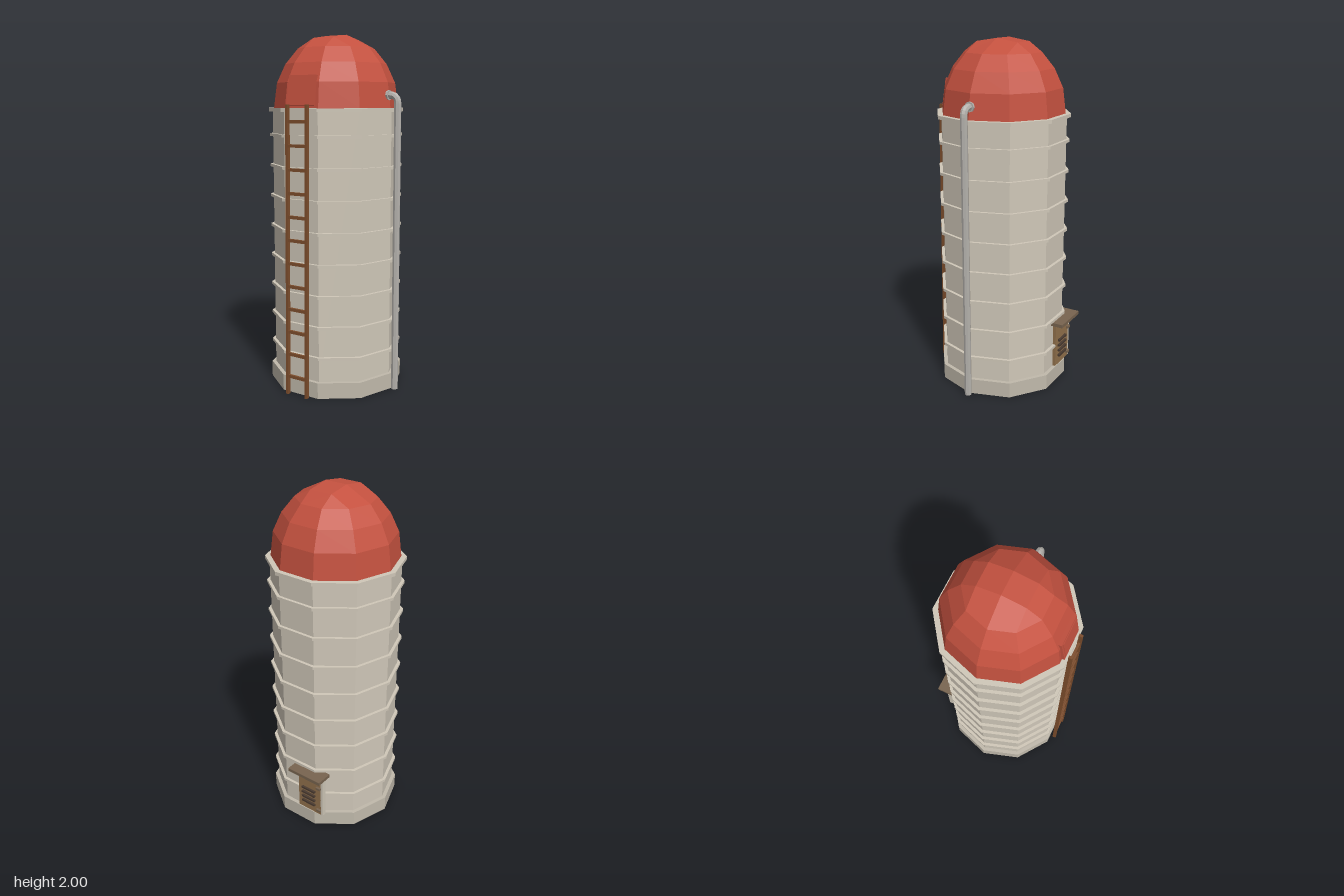
import * as THREE from 'three';

const CX = -0.018, CZ = 0.005; // axis of the tower
const SIDES = 10;

function material(name, color) {
  const m = new THREE.MeshStandardMaterial({ color, flatShading: true });
  m.name = name;
  return m;
}

// Dome: stacked decagon rings closed by a gridded cap with a short ridge
function domeGeometry() {
  const pos = [];
  const mid = new THREE.Vector3(0, 1.62, 0);
  const tri = (a, b, c) => {
    const n = b.clone().sub(a).cross(c.clone().sub(a));
    const out = a.clone().add(b).add(c).divideScalar(3).sub(mid);
    const order = n.dot(out) > 0 ? [a, b, c] : [a, c, b];
    order.forEach((p) => pos.push(p.x, p.y, p.z));
  };
  const quad = (a, b, c, d) => { tri(a, b, c); tri(a, c, d); };
  const ring = ([r, y]) => Array.from({ length: SIDES }, (_, i) => {
    const a = (i / SIDES) * Math.PI * 2;
    return new THREE.Vector3(r * Math.cos(a), y, r * Math.sin(a));
  });
  const rings = [[0.355, 1.595], [0.337, 1.735], [0.288, 1.84], [0.218, 1.925]].map(ring);
  for (let k = 0; k < rings.length - 1; k++) {
    for (let i = 0; i < SIDES; i++) {
      const j = (i + 1) % SIDES;
      quad(rings[k][i], rings[k][j], rings[k + 1][j], rings[k + 1][i]);
    }
  }
  const top = rings[3];
  const x = top[2].x, z = top[1].z;
  const v = (px, py, pz) => new THREE.Vector3(px, py, pz);
  for (const sz of [-1, 1]) {
    const flip = (p) => v(p.x, p.y, p.z * sz);
    const ridgeL = v(-x, 2, 0), ridgeR = v(x, 2, 0);
    const inL = v(-x, 1.98, z * sz), inR = v(x, 1.98, z * sz);
    quad(ridgeL, ridgeR, inR, inL);
    quad(inL, inR, flip(top[2]), flip(top[3]));
    quad(ridgeR, top[0], flip(top[1]), inR);
    quad(ridgeL, top[5], flip(top[4]), inL);
    tri(inR, flip(top[1]), flip(top[2]));
    tri(inL, flip(top[4]), flip(top[3]));
  }
  const g = new THREE.BufferGeometry();
  g.setAttribute('position', new THREE.Float32BufferAttribute(pos, 3));
  g.computeVertexNormals();
  return g;
}

export function createModel() {
  const model = new THREE.Group();
  model.name = 'silo';
  const concrete = material('concrete', 0xcfc7b8);
  const footing = material('footing concrete', 0xc0b9ab);
  const red = material('red roof', 0xc4513f);
  const metal = material('pipe metal', 0xb4b1ac);
  const ladderWood = material('ladder wood', 0x7d4d2c);
  const doorWood = material('door wood', 0x92714c);
  const awningWood = material('awning wood', 0x78644f);
  const dark = material('dark iron', 0x4a3b30);

  const add = (parent, name, geometry, mat, x = 0, y = 0, z = 0) => {
    const mesh = new THREE.Mesh(geometry, mat);
    mesh.name = name;
    mesh.position.set(x, y, z);
    parent.add(mesh);
    return mesh;
  };
  const box = (parent, name, mat, w, h, d, x, y, z) =>
    add(parent, name, new THREE.BoxGeometry(w, h, d), mat, x, y, z);
  const drum = (name, mat, r, y0, y1) =>
    add(model, name, new THREE.CylinderGeometry(r, r, y1 - y0, SIDES, 1, false, Math.PI / 2),
      mat, CX, (y0 + y1) / 2, CZ);

  // Tower
  drum('footing', footing, 0.385, 0, 0.09);
  drum('wall', concrete, 0.362, 0.09, 1.585);
  for (let i = 0; i < 8; i++) {
    const y = 0.225 + i * 0.1743;
    drum('hoop', concrete, 0.38, y - 0.008, y + 0.008);
  }
  drum('rim', concrete, 0.385, 1.576, 1.596);
  add(model, 'dome', domeGeometry(), red, CX, 0, CZ);

  // Roof hatch
  const hatch = new THREE.Group();
  hatch.name = 'hatch';
  hatch.position.set(CX, 1.69, 0.333);
  hatch.rotation.x = -0.17;
  box(hatch, 'hatchFrame', red, 0.176, 0.16, 0.022, 0, 0, 0);
  box(hatch, 'hatchPanel', red, 0.15, 0.136, 0.005, 0, 0, 0.012);
  model.add(hatch);

  // Leaning ladder
  const ladder = new THREE.Group();
  ladder.name = 'ladder';
  ladder.position.set(CX, 0.001, 0.4);
  ladder.rotation.x = -0.0124;
  for (const s of [-1, 1]) {
    box(ladder, 'ladderRail', ladderWood, 0.014, 1.615, 0.022, s * 0.064, 0.8075, 0);
  }
  for (let i = 0; i < 12; i++) {
    box(ladder, 'rung', ladderWood, 0.128, 0.017, 0.014, 0, 0.105 + i * 0.129, 0);
  }
  model.add(ladder);

  // Filling pipe with elbow and flange
  const px = 0.382, elbow = 0.045, topY = 1.665;
  const path = new THREE.CurvePath();
  const p = (x, y) => new THREE.Vector3(x, y, CZ);
  path.add(new THREE.LineCurve3(p(px, 0.004), p(px, topY - elbow)));
  add(model, 'pipe', new THREE.CylinderGeometry(0.02, 0.02, topY - elbow, 8), metal,
    px, (topY - elbow) / 2, CZ);
  const bend = new THREE.QuadraticBezierCurve3(p(px, topY - elbow), p(px, topY), p(px - elbow, topY));
  add(model, 'pipeElbow', new THREE.TubeGeometry(bend, 5, 0.02, 8), metal);
  const flange = add(model, 'pipeFlange', new THREE.CylinderGeometry(0.029, 0.029, 0.012, 8), metal,
    0.325, topY, CZ);
  flange.rotation.z = Math.PI / 2;
  const stub = add(model, 'pipeStub', new THREE.CylinderGeometry(0.02, 0.02, 0.05, 8), metal,
    0.316, topY, CZ);
  stub.rotation.z = Math.PI / 2;

  // Back door with awning, louvres and hinges
  const door = new THREE.Group();
  door.name = 'backDoor';
  door.position.set(-0.1, 0, 0);
  box(door, 'doorPanel', doorWood, 0.165, 0.275, 0.022, 0, 0.23, -0.347);
  box(door, 'doorPost', concrete, 0.014, 0.275, 0.03, -0.089, 0.23, -0.343);
  box(door, 'awning', awningWood, 0.228, 0.02, 0.1, 0, 0.377, -0.363);
  for (let i = 0; i < 4; i++) {
    box(door, 'louvre', dark, 0.095, 0.012, 0.014, 0.005, 0.15 + i * 0.033, -0.364);
  }
  for (const y of [0.125, 0.29]) {
    box(door, 'hinge', awningWood, 0.03, 0.014, 0.014, -0.07, y, -0.364);
  }
  model.add(door);

  return model;
}
